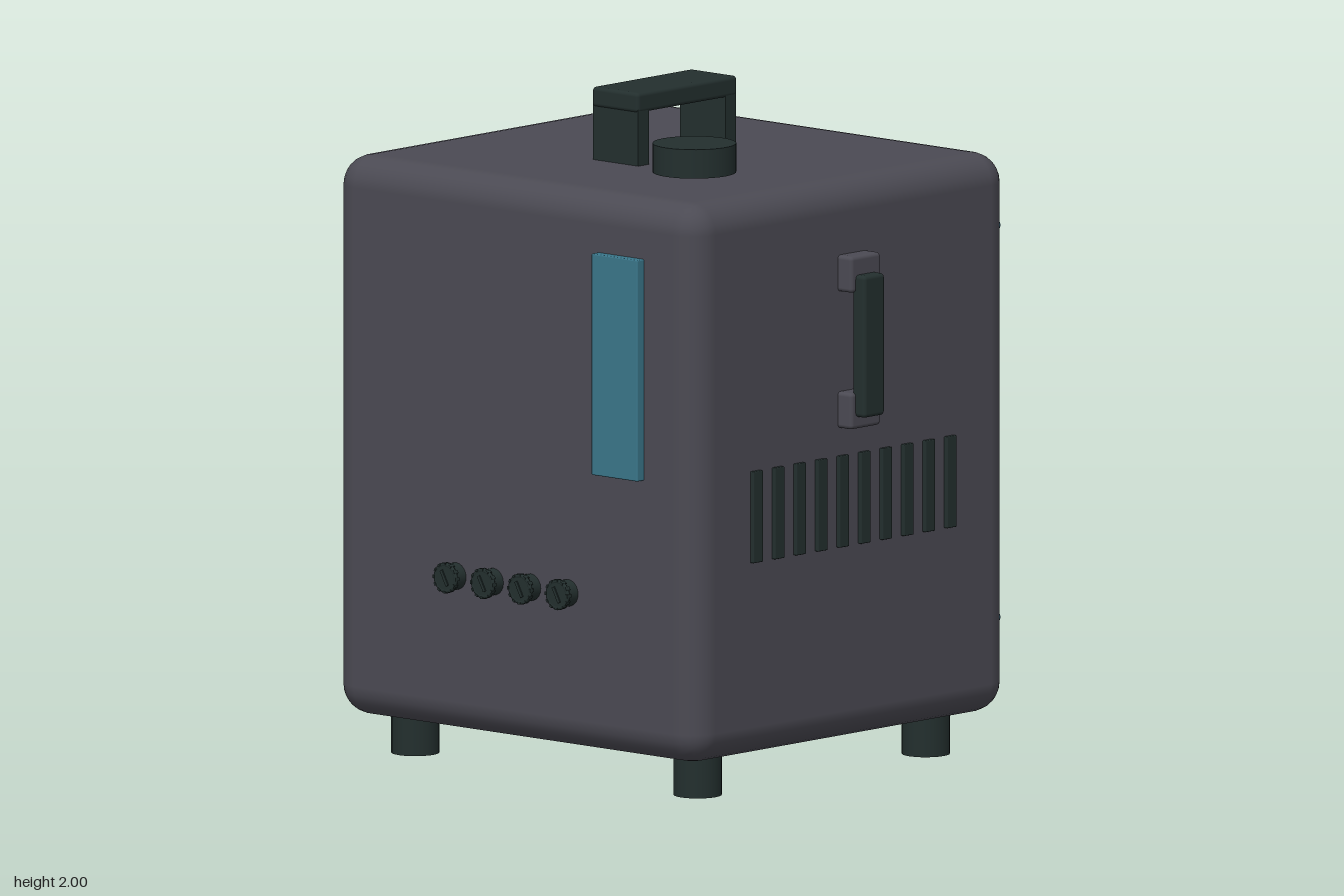
import * as THREE from 'three';
import { RoundedBoxGeometry } from 'three/addons/geometries/RoundedBoxGeometry.js';

export function createModel() {
  const model = new THREE.Group();
  model.name = 'portableUnit';

  const material = (name, color) => {
    const m = new THREE.MeshStandardMaterial({ color });
    m.name = name;
    return m;
  };
  const shell = material('shell grey', 0x4b4a53);
  const dark = material('dark green black', 0x232f2e);
  const blue = material('teal blue', 0x3a768a);

  const add = (name, geometry, mat, x, y, z, parent = model) => {
    const mesh = new THREE.Mesh(geometry, mat);
    mesh.name = name;
    mesh.position.set(x, y, z);
    parent.add(mesh);
    return mesh;
  };
  // Box given by its lower and upper corners, with slightly rounded edges
  const block = (name, mat, a, b, r = 0.01, parent = model, segments = 2) => {
    const s = a.map((v, i) => b[i] - v);
    const c = a.map((v, i) => (v + b[i]) / 2);
    const g = r > 0 ? new RoundedBoxGeometry(...s, segments, r) : new THREE.BoxGeometry(...s);
    return add(name, g, mat, ...c, parent);
  };

  // Main housing
  block('housing', shell, [-0.722, 0.12, -0.677], [0.722, 1.783, 0.705], 0.09, model, 3);

  // Feet
  for (const x of [-0.56, 0.56]) {
    for (const z of [-0.478, 0.515]) {
      add('foot', new THREE.CylinderGeometry(0.071, 0.071, 0.14, 24), dark, x, 0.07, z);
    }
  }

  // Carry handle on the top
  const handle = new THREE.Group();
  handle.name = 'carryHandle';
  model.add(handle);
  block('handleGrip', dark, [-0.092, 1.94, -0.173], [0.092, 2, 0.262], 0.012, handle);
  block('handleFrontLeg', dark, [-0.09, 1.77, 0.212], [0.09, 1.95, 0.258], 0, handle);
  block('handleBackLeg', dark, [-0.09, 1.77, -0.167], [0.09, 1.95, -0.121], 0, handle);

  // Raised round cap above the lid
  add('fillerCap', new THREE.CylinderGeometry(0.123, 0.123, 0.086, 32), dark, 0.383, 1.852, 0.335);

  // Front window
  block('levelWindow', blue, [0.337, 0.952, 0.69], [0.52, 1.61, 0.734], 0.004);

  // Front control knobs: stem, ribbed rim and a domed centre with a pointer
  for (const x of [-0.225, -0.077, 0.071, 0.219]) {
    const knob = new THREE.Group();
    knob.name = 'controlKnob';
    knob.position.set(x, 0.585, 0);
    model.add(knob);
    const stem = add('knobStem', new THREE.CylinderGeometry(0.04, 0.04, 0.06, 20), dark, 0, 0, 0.725, knob);
    stem.rotation.x = Math.PI / 2;
    const rim = add('knobRim', new THREE.TorusGeometry(0.039, 0.007, 8, 24), dark, 0, 0, 0.75, knob);
    rim.scale.z = 0.9;
    for (let i = 0; i < 12; i++) {
      const a = (i / 12) * Math.PI * 2;
      const rib = add('knobRib', new THREE.BoxGeometry(0.006, 0.01, 0.018), dark,
        0.042 * Math.cos(a), 0.042 * Math.sin(a), 0.749, knob);
      rib.rotation.z = a;
    }
    const pointer = add('knobPointer', new THREE.BoxGeometry(0.01, 0.05, 0.006), dark, 0, 0, 0.756, knob);
    pointer.rotation.z = 0.5;
  }

  // Side handles and ventilation slots, mirrored
  for (const s of [-1, 1]) {
    const side = new THREE.Group();
    side.name = s > 0 ? 'leftSide' : 'rightSide';
    model.add(side);
    const sideBlock = (name, mat, x0, x1, y0, y1, z0, z1, r) =>
      block(name, mat, [Math.min(s * x0, s * x1), y0, z0], [Math.max(s * x0, s * x1), y1, z1], r, side);
    sideBlock('handleMount', shell, 0.7, 0.776, 1.46, 1.568, -0.047, 0.083, 0.012);
    sideBlock('handleMount', shell, 0.7, 0.776, 1.054, 1.162, -0.047, 0.083, 0.012);
    sideBlock('sideGrip', dark, 0.76, 0.811, 1.09, 1.512, -0.027, 0.064, 0.012);
    for (let i = 0; i < 10; i++) {
      const z = 0.442 - i * 0.0937;
      sideBlock('ventSlot', dark, 0.71, 0.735, 0.7, 0.972, z - 0.021, z + 0.021, 0.003);
    }
  }

  // Rear panel with a slanted lip along its lower edge
  block('rearPanel', dark, [-0.397, 0.472, -0.74], [0.397, 1.09, -0.65], 0.02);
  const profile = new THREE.Shape([
    [-0.67, 0.452], [-0.67, 0.535], [-0.736, 0.535], [-0.762, 0.478],
  ].map(([z, y]) => new THREE.Vector2(-z, y)));
  const lip = add('rearLip', new THREE.ExtrudeGeometry(profile, { depth: 0.74, bevelEnabled: false }),
    shell, -0.37, 0, 0);
  lip.rotation.y = Math.PI / 2;

  // Small rear screws
  for (const x of [-0.645, 0.645]) {
    for (const y of [0.39, 1.555]) {
      const screw = add('rearScrew', new THREE.CylinderGeometry(0.016, 0.016, 0.045, 12), blue, x, y, -0.67);
      screw.rotation.x = Math.PI / 2;
    }
  }

  return model;
}
